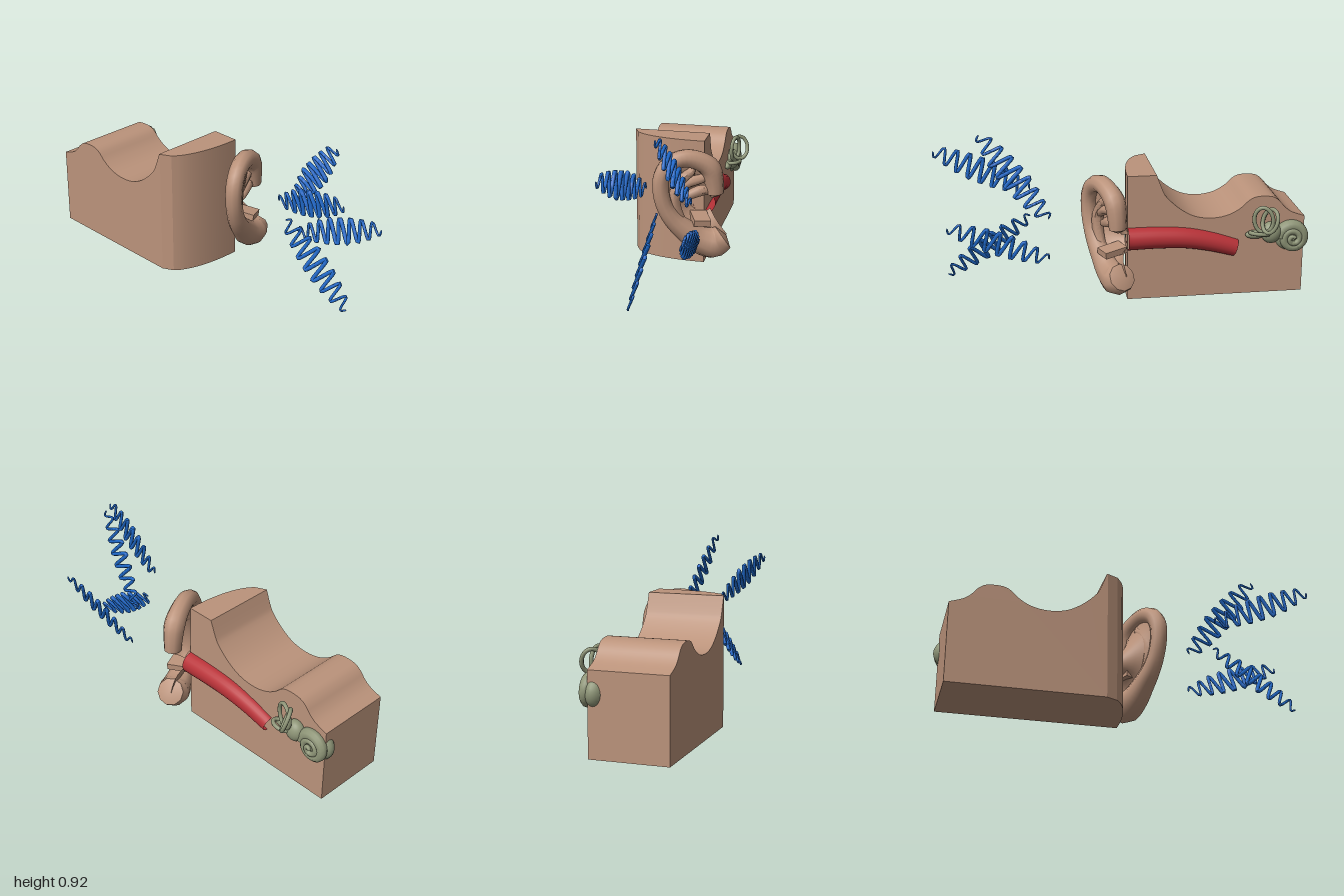
import * as THREE from 'three';
import { toCreasedNormals } from 'three/addons/utils/BufferGeometryUtils.js';

const mat = (name, color, side = THREE.FrontSide) => {
  const m = new THREE.MeshStandardMaterial({ color, side });
  m.name = name;
  return m;
};
const V = (x, y, z) => new THREE.Vector3(x, y, z);
const lerp = THREE.MathUtils.lerp;

// Tube along a curve whose radius follows a rule; closed ends collapse to a point
function taperTube(curve, segments, sides, radius, closed = true) {
  const g = new THREE.TubeGeometry(curve, segments, 1, sides, false);
  const p = g.attributes.position, v = V(0, 0, 0);
  for (let i = 0; i <= segments; i++) {
    const end = i === 0 || i === segments;
    const c = curve.getPointAt(end && closed ? (i ? 1 - 1e-4 : 1e-4) : i / segments);
    const centre = curve.getPointAt(i / segments);
    const r = end && closed ? 0.0005 : radius(i / segments);
    for (let j = 0; j <= sides; j++) {
      const k = i * (sides + 1) + j;
      v.fromBufferAttribute(p, k).sub(centre).multiplyScalar(r).add(c);
      p.setXYZ(k, v.x, v.y, v.z);
    }
  }
  return toCreasedNormals(g, 0.9);
}

// Depth of the tilted plane the outer ear lies in
const earZ = (x) => 0.19 - 0.45 * (x + 0.11);

// Rim of the ear from the front end over the top and down to the lobe: x, y, radius
const RIM = [
  [0.2, 0.405, 0.044], [0.19, 0.5, 0.052], [0.17, 0.57, 0.057], [0.11, 0.615, 0.052],
  [0.04, 0.63, 0.048], [-0.03, 0.6, 0.046], [-0.065, 0.54, 0.046], [-0.07, 0.46, 0.045],
  [-0.05, 0.37, 0.045], [-0.01, 0.295, 0.05], [0.05, 0.23, 0.06], [0.12, 0.17, 0.074],
  [0.19, 0.148, 0.088], [0.255, 0.185, 0.068],
];

export function createModel() {
  const root = new THREE.Group();
  const skin = mat('skin', 0xbb937b);
  const skinSheet = mat('skinSheet', 0xbb937b, THREE.DoubleSide);
  const red = mat('canalRed', 0xb83238, THREE.DoubleSide);
  const blue = mat('waveBlue', 0x1f68c8);
  const green = mat('innerEarGreen', 0x8f9678);
  const add = (name, geometry, material, parent = root) => {
    const m = new THREE.Mesh(geometry, material);
    m.name = name;
    parent.add(m);
    return m;
  };

  // Head block: side profile swept across, with its front bent to a curve
  const profile = new THREE.Shape();
  profile.moveTo(0.01, 0);
  profile.lineTo(0.97, 0);
  profile.lineTo(0.97, 0.43);
  profile.splineThru([[0.9, 0.455], [0.86, 0.485], [0.83, 0.52], [0.79, 0.545], [0.72, 0.55],
    [0.67, 0.535], [0.62, 0.49], [0.55, 0.453], [0.46, 0.44], [0.37, 0.455], [0.29, 0.5],
    [0.22, 0.565], [0.195, 0.61], [0.165, 0.69]].map(([a, b]) => new THREE.Vector2(a, b)));
  profile.lineTo(0.01, 0.69);
  const block = new THREE.ExtrudeGeometry(profile,
    { depth: 0.41, steps: 14, curveSegments: 3, bevelEnabled: false });
  block.rotateY(Math.PI / 2).translate(-0.285, 0, 0);
  const bp = block.attributes.position;
  for (let i = 0; i < bp.count; i++) {
    if (bp.getZ(i) < -0.02) continue;
    const s = (0.125 - bp.getX(i)) / 0.41;
    bp.setZ(i, -0.01 - 0.15 * (1 - Math.sqrt(Math.max(0, 1 - Math.pow(s, 2.2)))));
  }
  add('headBlock', toCreasedNormals(block, 0.35), skin);

  // Outer ear
  const ear = new THREE.Group();
  ear.name = 'outerEar';
  root.add(ear);
  const rimCurve = new THREE.CatmullRomCurve3(RIM.map(([x, y]) => V(x, y, earZ(x))));
  const rimRadius = (t) => {
    const k = rimCurve.getUtoTmapping(t) * (RIM.length - 1);
    const i = Math.min(Math.floor(k), RIM.length - 2);
    return lerp(RIM[i][2], RIM[i + 1][2], k - i);
  };
  add('earRim', taperTube(rimCurve, 48, 10, rimRadius), skin, ear);

  // Concha: sheet from the rim inward and back to the canal mouth
  const rows = 30, cols = 6, pos = [], idx = [];
  for (let i = 0; i <= rows; i++) {
    const p = rimCurve.getPointAt(i / rows);
    const a = lerp(0.5, Math.PI * 2 - 0.6, i / rows);
    const tx = 0.11 + 0.06 * Math.cos(a), ty = 0.355 + 0.058 * Math.sin(a);
    for (let j = 0; j <= cols; j++) {
      const t = j / cols;
      const x = lerp(p.x, tx, t);
      pos.push(x, lerp(p.y, ty, t), lerp(earZ(x) - 0.015, -0.005, t * t));
      if (i < rows && j < cols) {
        const k = i * (cols + 1) + j;
        idx.push(k, k + 1, k + cols + 1, k + 1, k + cols + 2, k + cols + 1);
      }
    }
  }
  const concha = new THREE.BufferGeometry();
  concha.setAttribute('position', new THREE.Float32BufferAttribute(pos, 3));
  concha.setIndex(idx);
  concha.computeVertexNormals();
  add('concha', concha, skinSheet, ear);

  // Inner folds: x, y points and a thickness
  const folds = {
    innerFold: [[[0.07, 0.23], [0.02, 0.3], [-0.005, 0.38], [0, 0.46], [0.04, 0.52], [0.1, 0.57]], 0.032],
    foldBranch: [[[0, 0.45], [0.06, 0.49], [0.13, 0.51], [0.17, 0.53]], 0.028],
    rimRoot: [[[0.19, 0.44], [0.13, 0.445], [0.08, 0.43], [0.04, 0.41]], 0.03],
  };
  for (const [name, [pts, r]] of Object.entries(folds)) {
    const c = new THREE.CatmullRomCurve3(pts.map(([x, y]) => V(x, y, earZ(x) - 0.01)));
    add(name, taperTube(c, 16, 7, (t) => r * (0.65 + 0.35 * Math.sin(Math.PI * t))), skin, ear);
  }
  const shelf = add('canalShelf', new THREE.BoxGeometry(0.09, 0.035, 0.13), skin, ear);
  shelf.position.set(0.12, 0.285, 0.07);
  shelf.rotation.set(0.12, 0.4, -0.12);

  // Ear canal
  const canalPath = new THREE.CatmullRomCurve3([V(0.125, 0.345, -0.01), V(0.125, 0.345, -0.18),
    V(0.125, 0.335, -0.33), V(0.122, 0.308, -0.46), V(0.12, 0.267, -0.595)]);
  add('earCanal', taperTube(canalPath, 24, 24, (t) => lerp(0.061, 0.056, t)
    - 0.008 * t * t, false), red);

  // Inner ear: snail, bulb and looping canals
  const inner = new THREE.Group();
  inner.name = 'innerEar';
  root.add(inner);
  const ball = (name, c, s) => {
    const m = add(name, new THREE.SphereGeometry(1, 24, 16), green, inner);
    m.position.set(...c);
    m.scale.set(...s);
  };
  ball('snailCore', [0.1, 0.315, -0.9], [0.06, 0.085, 0.098]);
  ball('bulb', [0.14, 0.35, -0.785], [0.045, 0.06, 0.055]);
  ball('bulbLower', [0.135, 0.34, -0.7], [0.022, 0.024, 0.055]);
  const spiral = [];
  for (let i = 0; i <= 50; i++) {
    const t = i / 50, a = Math.PI * (1 - 5 * t), R = 0.068 * Math.pow(1 - t, 0.9) + 0.004;
    spiral.push(V(0.132 + 0.045 * t, 0.315 + R * Math.sin(a), -0.903 - R * Math.cos(a)));
  }
  add('snailSpiral', taperTube(new THREE.CatmullRomCurve3(spiral), 110, 10,
    (t) => lerp(0.036, 0.011, t)), green, inner);
  const loops = [
    [[0.17, 0.43, -0.735], [0.1, 1.25, 0], [0.05, 0.07]],
    [[0.19, 0.43, -0.765], [-0.35, 0.55, 0.1], [0.05, 0.065]],
    [[0.165, 0.355, -0.715], [1.45, 0.15, 0], [0.035, 0.05]],
  ];
  for (const [c, rot, [rx, ry]] of loops) {
    const ring = [];
    for (let i = 0; i < 16; i++) {
      const a = (i / 16) * Math.PI * 2;
      ring.push(V(rx * Math.cos(a), ry * Math.sin(a), 0));
    }
    const m = add('loopCanal', new THREE.TubeGeometry(
      new THREE.CatmullRomCurve3(ring, true), 40, 0.011, 8, true), green, inner);
    m.position.set(...c);
    m.rotation.set(...rot);
  }

  // Sound waves: start, end and swing direction
  const waves = [
    [V(-0.07, 0.58, 0.49), V(-0.18, 0.78, 0.99), V(0, 0.92, -0.38)],
    [V(0.14, 0.48, 0.41), V(0.04, 0.92, 0.75), V(0, 0.6, -0.8)],
    [V(-0.02, 0.45, 0.49), V(-0.05, 0.13, 0.94), V(0.38, 0.75, 0.54)],
    [V(0.175, 0.27, 0.41), V(0.205, 0.48, 0.93), V(0.22, 0.9, -0.37)],
  ];
  for (const [a, b, swing] of waves) {
    const pts = [];
    for (let i = 0; i <= 96; i++) {
      const t = i / 96;
      const amp = 0.068 * (0.3 + 0.7 * Math.pow(Math.sin(Math.PI * t), 0.7));
      pts.push(a.clone().lerp(b, t).addScaledVector(swing, amp * Math.sin(t * Math.PI * 16)));
    }
    add('soundWave', taperTube(new THREE.CatmullRomCurve3(pts), 220, 8,
      (t) => 0.0045 + 0.0065 * Math.pow(Math.sin(Math.PI * t), 0.6)), blue);
  }
  return root;
}
